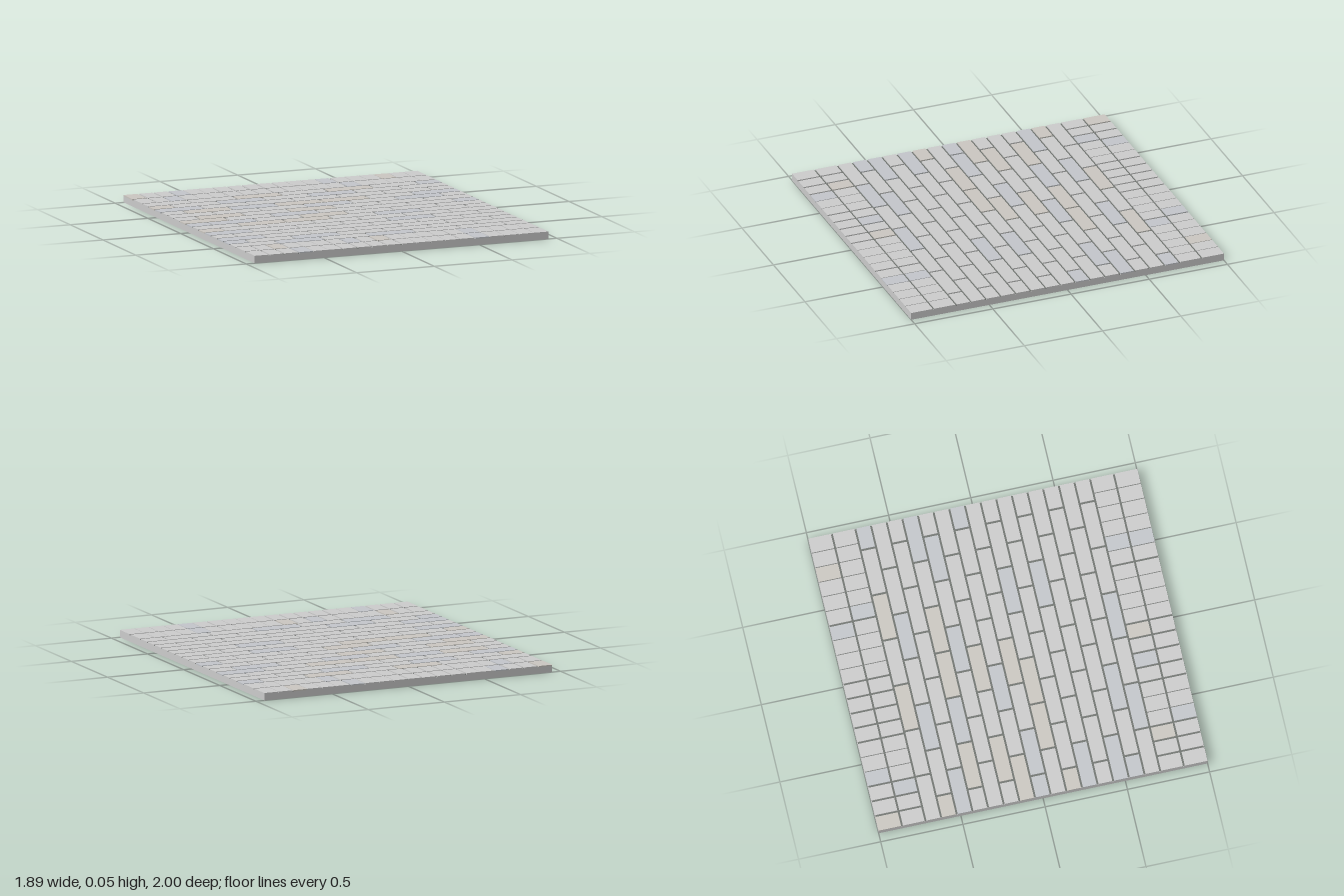
import * as THREE from 'three';

const HALF_X = 0.945, HALF_Z = 1, TOP = 0.045, BED = 0.039;
const grey = (color = 0xcccccc) => new THREE.MeshStandardMaterial({ color });

export function createModel() {
  const model = new THREE.Group();
  model.name = 'brickPaving';

  const box = (name, x0, x1, y0, y1, z0, z1, material, parent) => {
    const mesh = new THREE.Mesh(new THREE.BoxGeometry(x1 - x0, y1 - y0, z1 - z0), material);
    mesh.position.set((x0 + x1) / 2, (y0 + y1) / 2, (z0 + z1) / 2);
    mesh.name = name;
    parent.add(mesh);
  };

  // Solid slab, with a thin dark mortar bed showing between the bricks
  box('baseSlab', -HALF_X, HALF_X, 0, BED - 0.001, -HALF_Z, HALF_Z, grey(), model);
  box('mortarBed', -HALF_X + 0.002, HALF_X - 0.002, BED - 0.002, BED, -HALF_Z + 0.002, HALF_Z - 0.002, grey(0x707470), model);

  // Mostly plain grey bricks, with a few faintly warm or cool ones
  const plain = grey(), warm = grey(0xcbc7c1), cool = grey(0xc3c6cb);
  let seed = 7;
  const pick = () => {
    seed = (seed * 16807) % 2147483647;
    const r = seed / 2147483647;
    return r < 0.12 ? warm : r < 0.27 ? cool : plain;
  };

  // One course: joints are [x, width] pairs; outer edges stay flush with the slab
  const course = (name, z0, z1, joints) => {
    const group = new THREE.Group();
    group.name = name;
    const gap = 0.006;
    const back = z0 <= -HALF_Z ? z0 : z0 + gap;
    const front = z1 >= HALF_Z ? z1 : z1 - gap;
    const cuts = [[-HALF_X, 0], ...joints, [HALF_X, 0]];
    for (let i = 0; i < cuts.length - 1; i++) {
      const [a, wa] = cuts[i], [b, wb] = cuts[i + 1];
      box('brick', a + wa / 2, b - wb / 2, BED - 0.002, TOP, back, front, pick(), group);
    }
    model.add(group);
  };

  // Two upright border courses at each end
  const wide = [1, 2, 3, 6, 7, 8, 9, 10, 14];
  const borderJoints = Array.from({ length: 19 }, (_, i) =>
    [-HALF_X + (i + 1) * 0.0945, wide.includes(i + 1) ? 0.012 : 0.005]);
  for (const [z0, z1] of [[-1, -0.858], [-0.858, -0.715], [0.712, 0.856], [0.856, 1]])
    course('borderCourse', z0, z1, borderJoints);

  // Running bond between the borders, every other course shifted by half a brick
  const rows = 15, pitch = 0.293, depth = (0.712 + 0.715) / rows;
  for (let r = 0; r < rows; r++) {
    const start = r % 2 ? -0.808 : -0.661;
    const joints = Array.from({ length: 6 }, (_, i) => [start + i * pitch, 0.013]);
    course('runningCourse', -0.715 + r * depth, -0.715 + (r + 1) * depth, joints);
  }
  return model;
}
